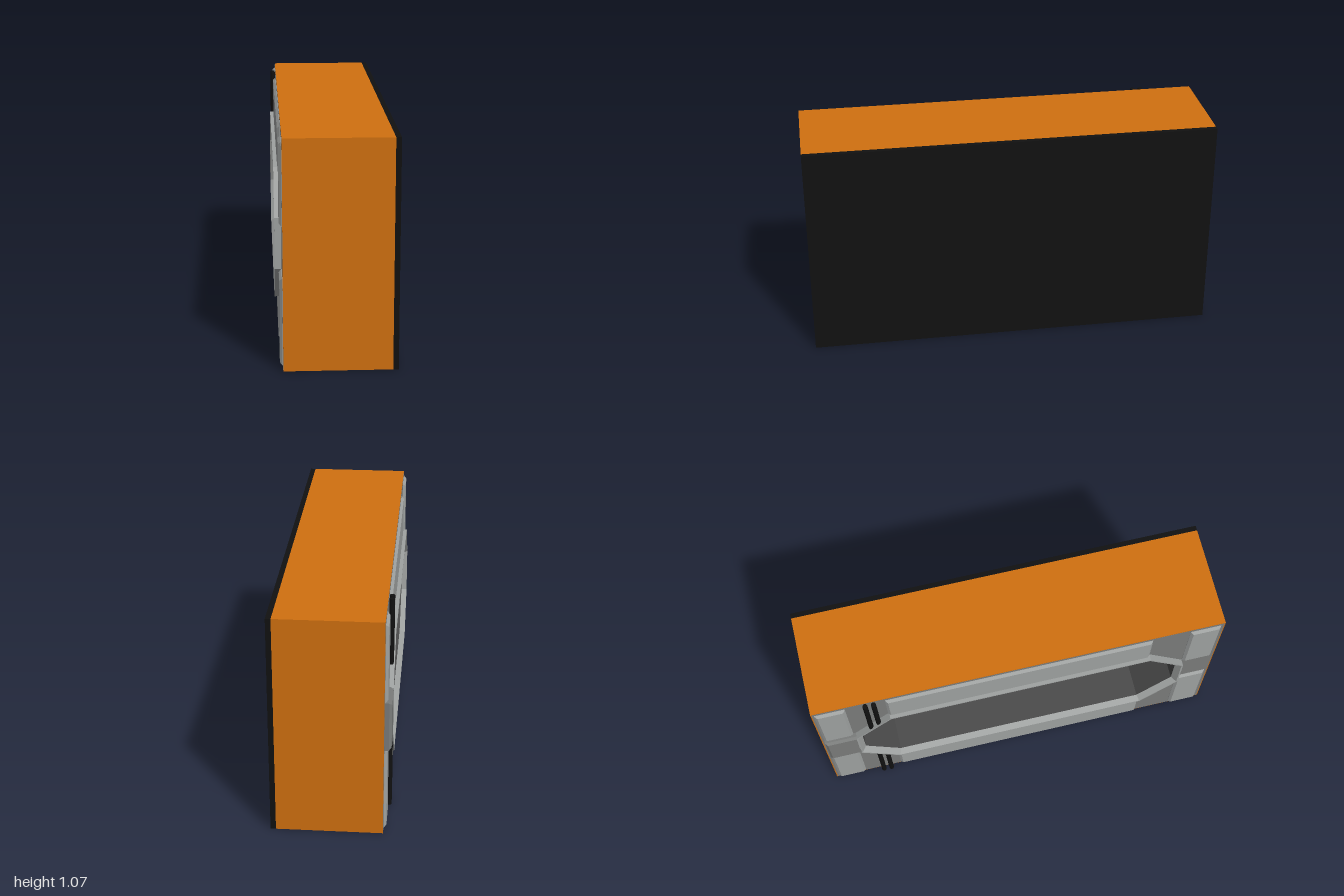
import * as THREE from 'three';

const mat = (name, color) => {
  const m = new THREE.MeshStandardMaterial({ color });
  m.name = name;
  return m;
};

const H = 1.07, CY = 0.5475;      // body height, opening centre height
const FACE = 0.245;               // depth of the panel face (towards -x)

// Octagon points (z, y), inset by d, counter-clockwise
function octagon(d) {
  const z = 0.83 - d, y = 0.3125 - d, cz = 0.645 - 0.41 * d, cy = 0.12 - 0.41 * d;
  return [[cz, -y], [z, -cy], [z, cy], [cz, y], [-cz, y], [-z, cy], [-z, -cy], [-cz, -y]]
    .map(([a, b]) => new THREE.Vector2(a, b + CY));
}

// Faceted band through octagons given as [inset, depth towards -x]
function band(sections) {
  const pos = [];
  for (let s = 0; s + 1 < sections.length; s++) {
    const [da, ha] = sections[s], [db, hb] = sections[s + 1];
    const A = octagon(da), B = octagon(db);
    for (let i = 0; i < 8; i++) {
      const j = (i + 1) % 8;
      const a = [A[i].x, A[i].y, ha], b = [A[j].x, A[j].y, ha];
      const c = [B[j].x, B[j].y, hb], d = [B[i].x, B[i].y, hb];
      pos.push(...a, ...b, ...c, ...a, ...c, ...d);
    }
  }
  const g = new THREE.BufferGeometry();
  g.setAttribute('position', new THREE.Float32BufferAttribute(pos, 3));
  g.computeVertexNormals();
  return g.rotateY(-Math.PI / 2);
}

function rect(z0, z1, y0, y1) {
  return new THREE.Shape([[z0, y0], [z1, y0], [z1, y1], [z0, y1]].map(p => new THREE.Vector2(...p)));
}

// Bevelled plate on the -x face, reaching depth top
function plateGeometry(z0, z1, y0, y1, top) {
  const bevel = 0.012, depth = top - FACE - bevel + 0.002;
  const g = new THREE.ExtrudeGeometry(rect(z0, z1, y0, y1), {
    depth, bevelEnabled: true, bevelThickness: bevel, bevelSize: bevel, bevelOffset: -bevel, bevelSegments: 1,
  });
  return g.translate(0, 0, FACE - 0.002).rotateY(-Math.PI / 2);
}

export function createModel() {
  const orange = mat('orange casing', 0xd07010);
  const black = mat('black', 0x111111);
  const plateGrey = mat('plate grey', 0x9fa2a1);
  const panelGrey = mat('panel grey', 0x7a7c7b);
  const cavityGrey = mat('cavity grey', 0x4c4c4c);

  const group = new THREE.Group();
  const add = (name, geo, material, x = 0, y = 0, z = 0) => {
    const m = new THREE.Mesh(geo, material);
    m.name = name;
    m.position.set(x, y, z);
    group.add(m);
    return m;
  };

  // Orange casing walls
  const w = 0.25 + FACE, cx = (0.25 - FACE) / 2, t = 0.01;
  add('casingTop', new THREE.BoxGeometry(w, t, 2), orange, cx, H - t / 2, 0);
  add('casingBottom', new THREE.BoxGeometry(w, t, 2), orange, cx, t / 2, 0);
  for (const s of [1, -1])
    add(s > 0 ? 'casingFront' : 'casingBack', new THREE.BoxGeometry(w, H - 2 * t, t), orange, cx, H / 2, s * (1 - t / 2));

  // Black closing panel
  add('blackPanel', new THREE.BoxGeometry(0.025, H, 2), black, 0.2625, H / 2, 0);

  // Grey side panel with the octagonal hole
  const side = rect(-0.995, 0.995, 0.005, H - 0.005);
  side.holes.push(new THREE.Path(octagon(0.015).reverse()));
  const sideGeo = new THREE.ExtrudeGeometry(side, { depth: 0.01, bevelEnabled: false });
  add('sidePanel', sideGeo.translate(0, 0, FACE - 0.009).rotateY(-Math.PI / 2), panelGrey);

  // Raised opening frame and the cavity behind it
  add('openingFrame', band([[0, 0.24], [0, 0.278], [0.008, 0.278], [0.03, 0.25]]), plateGrey);
  add('cavity', band([[0.03, 0.25], [0.03, -0.25]]), cavityGrey);

  // Long plates above and below the opening
  add('upperPlate', plateGeometry(-0.65, 0.645, 0.84, 1.05, 0.26), plateGrey);
  add('lowerPlate', plateGeometry(-0.65, 0.645, 0.02, 0.255, 0.26), plateGrey);

  // Corner plates
  for (const [z0, z1] of [[-0.985, -0.84], [0.83, 0.98]]) {
    add('cornerPlateUpper', plateGeometry(z0, z1, 0.67, 1.05, 0.26), plateGrey);
    add('cornerPlateLower', plateGeometry(z0, z1, 0.02, 0.43, 0.26), plateGrey);
  }

  // Bracket joining the frame to the back edge
  add('bracket', plateGeometry(-0.985, -0.815, 0.43, 0.67, 0.278), panelGrey);

  // Pairs of cables running from the frame to the top and bottom edges
  for (const [z, reach] of [[-0.745, 0.2], [-0.705, 0.24]]) {
    for (const s of [1, -1]) {
      const inner = CY + s * reach, outer = s > 0 ? H : 0;
      const geo = new THREE.CylinderGeometry(0.012, 0.012, Math.abs(outer - inner), 12);
      add('cable', geo, black, -0.261, (inner + outer) / 2, z);
    }
  }
  return group;
}
